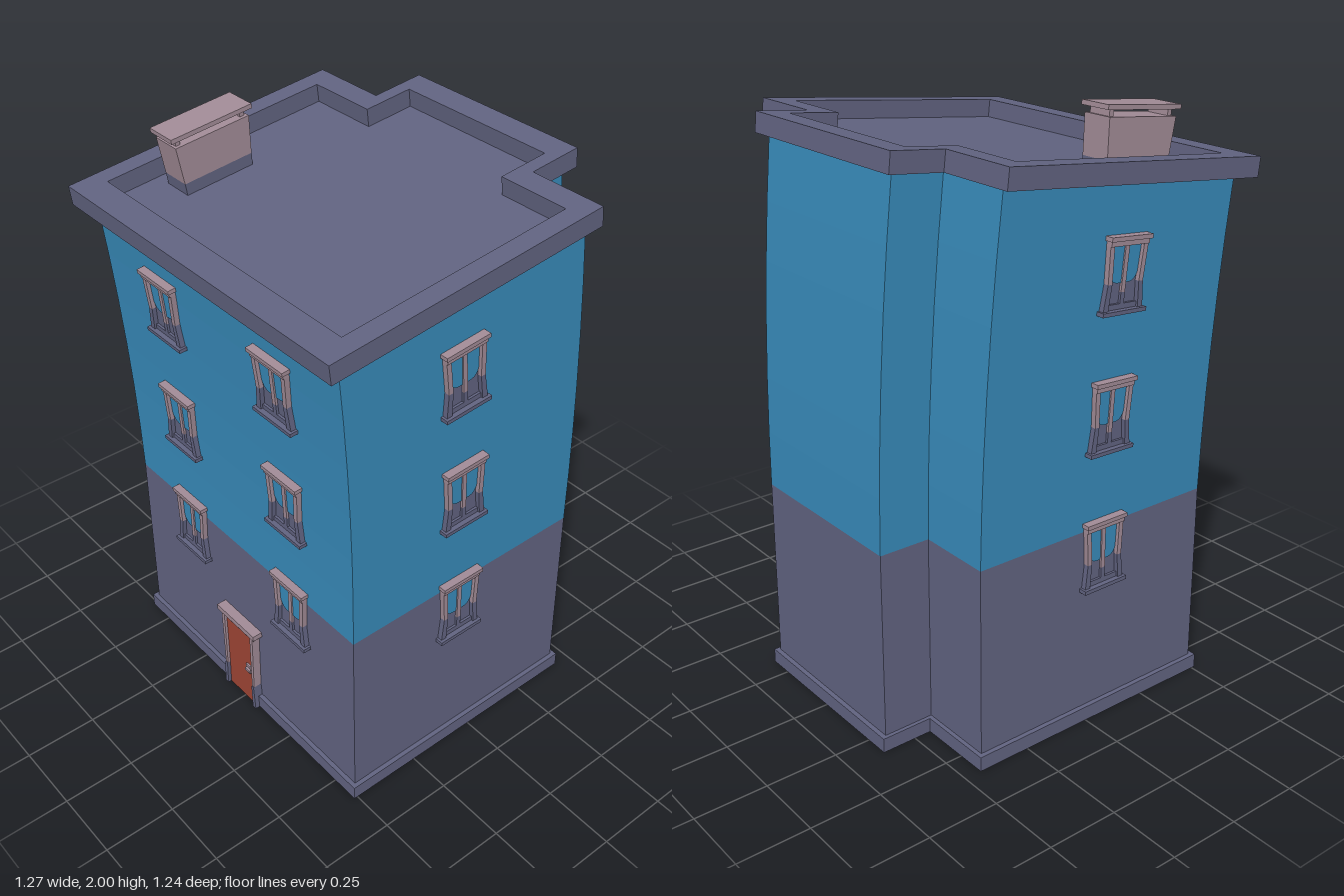
import * as THREE from 'three';

const mat = (name, color, side = THREE.FrontSide) => {
  const m = new THREE.MeshStandardMaterial({ color, side });
  m.name = name;
  return m;
};

// Bends the straight building forward above y = 0.65 and flares its width slightly
const Y0 = 0.65, Y1 = 1.795, BEND = 0.109, K = BEND / (Y1 - Y0);
function warp(geometry) {
  const g = geometry.index ? geometry.toNonIndexed() : geometry;
  const p = g.attributes.position;
  for (let i = 0; i < p.count; i++) {
    const s = p.getY(i), z = p.getZ(i);
    const a = K * (Math.min(Math.max(s, Y0), Y1) - Y0);
    const rest = s < Y0 ? s - Y0 : Math.max(0, s - Y1);
    const flare = s < 0.7 ? 1 + 0.012 * (0.7 - s) / 0.7 : 1 + 0.022 * Math.min(1, (s - 0.7) / (Y1 - 0.7));
    p.setXYZ(i, p.getX(i) * flare,
      Y0 + Math.sin(a) / K + rest * Math.cos(a) - z * Math.sin(a),
      (1 - Math.cos(a)) / K + rest * Math.sin(a) + z * Math.cos(a));
  }
  g.computeVertexNormals();
  return g;
}

// Stepped floor plan as [x, z] points
const plan = (w, front, wing, b, back) => [[w, front], [w, wing], [b, wing], [b, back],
  [-b, back], [-b, wing], [-w, wing], [-w, front]];
const WALL_X = 0.577, WALL_Z = 0.497;
const wallPlan = plan(WALL_X, WALL_Z, -0.425, 0.318, -0.605);
const toShape = pts => new THREE.Shape(pts.map(([x, z]) => new THREE.Vector2(x, -z)));

// Open wall shell through a list of heights
function shell(pts, heights) {
  const v = [];
  for (let h = 0; h < heights.length - 1; h++) {
    const lo = heights[h], hi = heights[h + 1];
    pts.forEach(([ax, az], i) => {
      const [bx, bz] = pts[(i + 1) % pts.length];
      v.push(ax, lo, az, bx, lo, bz, bx, hi, bz, ax, lo, az, bx, hi, bz, ax, hi, az);
    });
  }
  const g = new THREE.BufferGeometry();
  g.setAttribute('position', new THREE.Float32BufferAttribute(v, 3));
  return g;
}

// Horizontal ring between two floor plans
function ring(outer, inner, y, height) {
  const s = toShape(outer);
  s.holes.push(toShape(inner));
  return new THREE.ExtrudeGeometry(s, { depth: height, bevelEnabled: false }).rotateX(-Math.PI / 2).translate(0, y, 0);
}

// Upright plate: polygon in x, y with thickness from d0 to d1
function plate(pts, d0, d1) {
  const s = new THREE.Shape(pts.map(([x, y]) => new THREE.Vector2(x, y)));
  return new THREE.ExtrudeGeometry(s, { depth: d1 - d0, bevelEnabled: false }).translate(0, 0, d0);
}
const rect = (x0, x1, y0, y1) => [[x0, y0], [x1, y0], [x1, y1], [x0, y1]];

export function createModel() {
  const model = new THREE.Group();
  model.name = 'building';
  const blue = mat('blue wall', 0x3789b8, THREE.DoubleSide);
  const grey = mat('slate grey', 0x60627f, THREE.DoubleSide);
  const pink = mat('dusty pink', 0xa08a95);
  const red = mat('door red', 0x9c4434);

  const add = (parent, name, geometry, material, place = g => g) => {
    const mesh = new THREE.Mesh(warp(place(geometry)), material);
    mesh.name = name;
    parent.add(mesh);
  };
  const group = name => {
    const g = new THREE.Group();
    g.name = name;
    model.add(g);
    return g;
  };

  // Walls and plinth
  add(model, 'lowerWalls', shell(wallPlan, [0, 0.35, 0.69]), grey);
  add(model, 'upperWalls', shell(wallPlan, [0.69, 0.87, 1.05, 1.23, 1.42, 1.6, 1.8]), blue);
  add(model, 'plinth', ring(plan(0.593, 0.513, -0.44, 0.331, -0.622), wallPlan, 0, 0.05), grey);

  // Roof with parapet
  const roofInner = plan(0.553, 0.457, -0.368, 0.3, -0.548);
  add(model, 'parapet', ring(plan(0.621, 0.556, -0.448, 0.349, -0.636), roofInner, 1.796, 0.066), grey);
  add(model, 'roofFloor', new THREE.ShapeGeometry(toShape(roofInner)).rotateX(-Math.PI / 2).translate(0, 1.8, 0), grey);

  // Windows
  function addWindow(place) {
    const w = group('window');
    add(w, 'lowerPane', plate(rect(-0.062, 0.062, 0.01, 0.212), 0, 0.003), grey, place);
    const s = new THREE.Shape();
    s.moveTo(-0.06, 0.212);
    s.lineTo(-0.056, 0.125);
    s.quadraticCurveTo(-0.05, 0.095, -0.025, 0.093);
    s.lineTo(0.025, 0.093);
    s.quadraticCurveTo(0.05, 0.095, 0.056, 0.125);
    s.lineTo(0.06, 0.212);
    add(w, 'upperPane', new THREE.ShapeGeometry(s, 4).translate(0, 0, 0.006), blue, place);
    add(w, 'mullion', plate(rect(-0.008, 0.008, 0.065, 0.212), 0, 0.011), pink, place);
    add(w, 'mullionFoot', plate(rect(-0.008, 0.008, 0.012, 0.065), 0, 0.011), grey, place);
    add(w, 'bottomRail', plate(rect(-0.06, 0.06, 0.012, 0.03), 0, 0.011), grey, place);
    for (const m of [-1, 1]) {
      const side = pts => m < 0 ? pts.map(([x, y]) => [-x, y]).reverse() : pts;
      add(w, 'jamb', plate(side([[0.054, 0.095], [0.071, 0.095], [0.077, 0.212], [0.06, 0.212]]), -0.01, 0.018), pink, place);
      add(w, 'jambFoot', plate(side([[0.06, 0.012], [0.08, 0.012], [0.071, 0.095], [0.054, 0.095]]), -0.01, 0.018), grey, place);
    }
    add(w, 'lintel', plate(rect(-0.077, 0.077, 0.21, 0.228), -0.01, 0.022), pink, place);
    add(w, 'lintelCap', plate(rect(-0.083, 0.083, 0.226, 0.24), -0.01, 0.028), pink, place);
    add(w, 'sill', plate(rect(-0.088, 0.088, 0, 0.013), -0.01, 0.028), grey, place);
  }
  [0.5, 0.96, 1.42].forEach((front, i) => {
    const side = [0.48, 0.95, 1.4][i];
    for (const m of [-1, 1]) {
      addWindow(g => g.translate(m * 0.273, front, WALL_Z));
      addWindow(g => g.rotateY(m * Math.PI / 2).translate(m * WALL_X, side, 0.063));
    }
  });

  // Front door
  const door = group('door');
  const atDoor = g => g.translate(-0.015, 0, WALL_Z);
  add(door, 'doorPanel', plate(rect(-0.078, 0.078, 0, 0.345), 0.012, 0.02), red, atDoor);
  for (const m of [-1, 1]) {
    const side = pts => m < 0 ? pts.map(([x, y]) => [-x, y]).reverse() : pts;
    add(door, 'doorJamb', plate(side([[0.071, 0.1], [0.083, 0.1], [0.088, 0.345], [0.073, 0.345]]), -0.01, 0.03), pink, atDoor);
    add(door, 'doorJambFoot', plate(side([[0.073, 0], [0.09, 0], [0.083, 0.1], [0.071, 0.1]]), -0.01, 0.033), grey, atDoor);
  }
  add(door, 'doorLintel', plate(rect(-0.092, 0.092, 0.33, 0.348), -0.01, 0.028), pink, atDoor);
  add(door, 'doorCap', plate(rect(-0.104, 0.104, 0.345, 0.365), -0.01, 0.036), pink, atDoor);
  add(door, 'lockPlate', plate(rect(0.035, 0.058, 0.145, 0.18), 0.018, 0.026), pink, atDoor);
  add(door, 'handle', plate(rect(0.04, 0.064, 0.158, 0.168), 0.026, 0.034), pink, atDoor);

  // Chimney, widening upward, with a raised cap
  const chimney = group('chimney');
  const atChimney = g => g.rotateY(-Math.PI / 2).translate(-0.445, 0, 0.157);
  add(chimney, 'chimneyBase', plate([[-0.125, 1.8], [0.125, 1.8], [0.127, 1.84], [-0.127, 1.84]], -0.052, 0.052), grey, atChimney);
  add(chimney, 'chimneyBody', plate([[-0.127, 1.84], [0.127, 1.84], [0.137, 1.967], [-0.137, 1.967]], -0.052, 0.052), pink, atChimney);
  for (const m of [-1, 1])
    add(chimney, 'capSupport', plate(rect(m * 0.12 - 0.008, m * 0.12 + 0.008, 1.965, 1.992), -0.04, 0.04), pink, atChimney);
  add(chimney, 'chimneyCap', plate(rect(-0.15, 0.15, 1.988, 2.003), -0.056, 0.056), pink, atChimney);

  return model;
}
